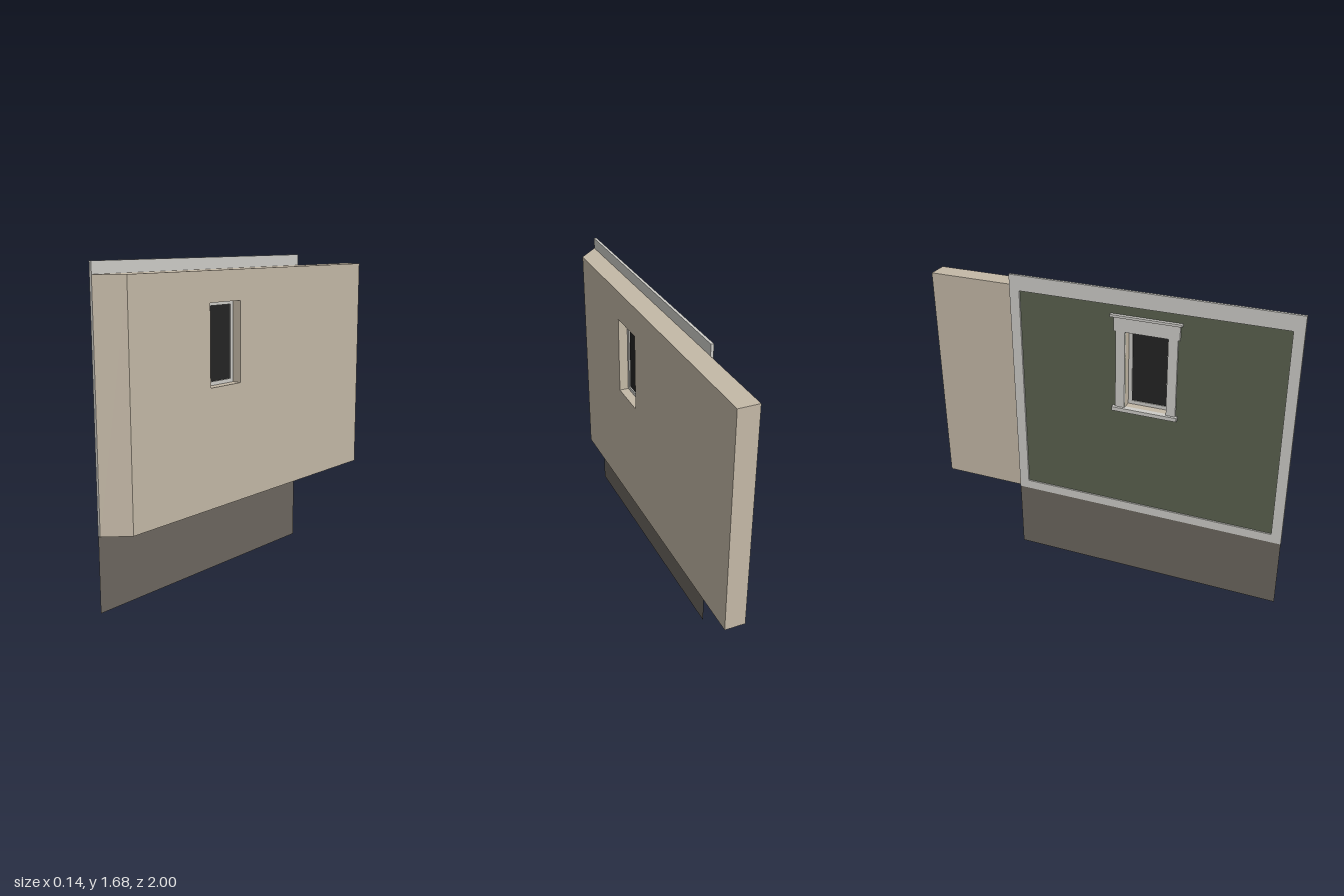
import * as THREE from 'three';

const paint = (name, color, side = THREE.FrontSide) => {
  const m = new THREE.MeshStandardMaterial({ color, side });
  m.name = name;
  return m;
};

export function createModel() {
  const model = new THREE.Group();
  model.name = 'wallSection';

  const beige = paint('plasterBeige', 0xc4b9a7);
  const grey = paint('trimGrey', 0xcecdc8);
  const green = paint('sidingGreen', 0x5a614f);
  const stone = paint('foundationBrown', 0x6c665f, THREE.DoubleSide);
  const black = paint('windowGlass', 0x242424, THREE.DoubleSide);

  const add = (name, geometry, material, parent = model) => {
    const mesh = new THREE.Mesh(geometry, material);
    mesh.name = name;
    parent.add(mesh);
    return mesh;
  };

  // Box given by its limits on each axis
  const box = (name, [x0, x1], [y0, y1], [z0, z1], material, parent) => {
    const g = new THREE.BoxGeometry(x1 - x0, y1 - y0, z1 - z0);
    g.translate((x0 + x1) / 2, (y0 + y1) / 2, (z0 + z1) / 2);
    return add(name, g, material, parent);
  };

  // Upright slab in the z-y plane with one rectangular opening
  const slab = ([x0, x1], [z0, z1], [y0, y1], [hz0, hz1], [hy0, hy1]) => {
    const corners = (a, b, c, d) =>
      [[a, c], [b, c], [b, d], [a, d]].map((p) => new THREE.Vector2(...p));
    const shape = new THREE.Shape(corners(z0, z1, y0, y1));
    shape.holes.push(new THREE.Path(corners(hz0, hz1, hy0, hy1).reverse()));
    const g = new THREE.ExtrudeGeometry(shape, { depth: x1 - x0, bevelEnabled: false });
    g.rotateY(-Math.PI / 2);
    g.translate(x1, 0, 0);
    return g;
  };

  const holeZ = [0.11, 0.34], holeY = [1.03, 1.46];
  const panelZ = [-0.53, 1];

  // Thick wall, mitred at the front end
  const wall = slab([-0.042, 0.07], [-1, 1], [0.39, 1.62], holeZ, holeY);
  const pos = wall.attributes.position;
  for (let i = 0; i < pos.count; i++) {
    if (pos.getZ(i) > 0.99 && pos.getX(i) > 0) pos.setZ(i, 0.89);
  }
  wall.computeVertexNormals();
  add('wall', wall, beige);

  // Outer siding and its border
  add('siding', slab([-0.048, -0.042], [-0.48, 0.95], [0.44, 1.597], holeZ, holeY), green);
  add('sidingBorder',
    slab([-0.057, -0.042], panelZ, [0.39, 1.68], [-0.475, 0.945], [0.44, 1.597]), grey);

  // Foundation sheet
  const base = new THREE.PlaneGeometry(1.53, 0.39);
  base.rotateY(-Math.PI / 2);
  base.translate(-0.055, 0.195, 0.235);
  add('foundation', base, stone);

  // Window
  const win = new THREE.Group();
  win.name = 'window';
  model.add(win);
  add('windowFrame', slab([0.004, 0.02], holeZ, holeY, [0.13, 0.32], [1.05, 1.44]), grey, win);
  box('glass', [0.009, 0.013], [1.05, 1.44], [0.13, 0.32], black, win);
  for (const [name, z0] of [['backCasing', 0.06], ['frontCasing', 0.34]]) {
    box(name, [-0.058, -0.042], [1.03, 1.46], [z0, z0 + 0.05], grey, win);
  }
  box('header', [-0.06, -0.042], [1.46, 1.535], [0.05, 0.4], grey, win);
  box('headerCap', [-0.067, -0.042], [1.535, 1.548], [0.03, 0.41], grey, win);
  box('sill', [-0.072, -0.042], [1.012, 1.033], [0.045, 0.4], grey, win);

  return model;
}
